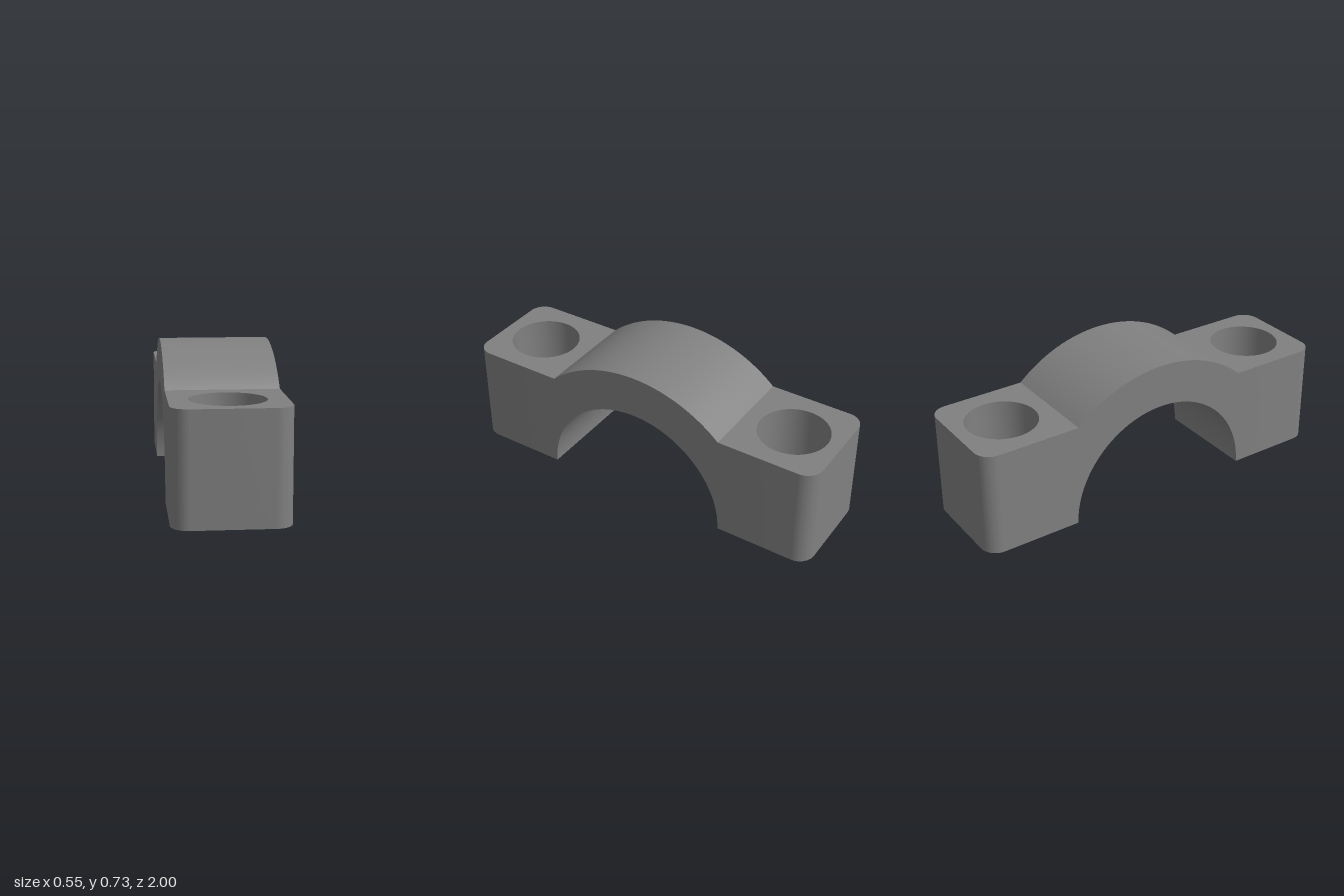
import * as THREE from 'three';
import { toCreasedNormals } from 'three/addons/utils/BufferGeometryUtils.js';

const HALF_WIDTH = 0.275;
const LUG_HEIGHT = 0.54;
const INNER_R = 0.5025; // bore radius, also where the arch joins the lugs
const OUTER_R = 0.727;

// Drops the hidden faces in the joint planes and keeps hard edges crisp.
function finish(geometry) {
  const p = geometry.toNonIndexed().attributes.position.array;
  const kept = [];
  for (let i = 0; i < p.length; i += 9) {
    const onJoint = [2, 5, 8].every((k) => Math.abs(Math.abs(p[i + k]) - INNER_R) < 1e-5);
    const sameSide = p[i + 2] * p[i + 5] > 0 && p[i + 5] * p[i + 8] > 0;
    if (!(onJoint && sameSide)) kept.push(...p.slice(i, i + 9));
  }
  const result = new THREE.BufferGeometry();
  result.setAttribute('position', new THREE.Float32BufferAttribute(kept, 3));
  return toCreasedNormals(result, 0.5);
}

// Half-ring over the bore, with short flat shoulders running into the lugs.
function archGeometry() {
  const t = Math.asin(LUG_HEIGHT / OUTER_R);
  const s = new THREE.Shape();
  s.moveTo(-INNER_R, LUG_HEIGHT);
  s.lineTo(-OUTER_R * Math.cos(t), LUG_HEIGHT);
  s.absarc(0, 0, OUTER_R, Math.PI - t, t, true);
  s.lineTo(INNER_R, LUG_HEIGHT);
  s.lineTo(INNER_R, 0);
  s.absarc(0, 0, INNER_R, 0, Math.PI, false);
  const g = new THREE.ExtrudeGeometry(s, { depth: 2 * HALF_WIDTH, bevelEnabled: false, curveSegments: 40 });
  g.translate(0, 0, -HALF_WIDTH).rotateY(Math.PI / 2);
  return finish(g);
}

// Bolt lug: rounded outer corners and a vertical through hole.
function lugGeometry() {
  const r = 0.085;
  const w = HALF_WIDTH;
  const s = new THREE.Shape();
  s.moveTo(-w, INNER_R);
  s.lineTo(w, INNER_R);
  s.lineTo(w, 1 - r);
  s.absarc(w - r, 1 - r, r, 0, Math.PI / 2, false);
  s.lineTo(-w + r, 1);
  s.absarc(-w + r, 1 - r, r, Math.PI / 2, Math.PI, false);
  const hole = new THREE.Path();
  hole.absarc(0, 0.75, 0.18, 0, Math.PI * 2, true);
  s.holes.push(hole);
  const g = new THREE.ExtrudeGeometry(s, { depth: LUG_HEIGHT, bevelEnabled: false, curveSegments: 30 });
  g.rotateX(-Math.PI / 2);
  return finish(g);
}

export function createModel() {
  const model = new THREE.Group();
  model.name = 'bearingCap';
  const grey = new THREE.MeshStandardMaterial({ color: 0x808080 });
  grey.name = 'grey metal';

  const arch = new THREE.Mesh(archGeometry(), grey);
  arch.name = 'arch';
  model.add(arch);

  const lug = lugGeometry();
  for (const [name, turn] of [['backLug', 0], ['frontLug', Math.PI]]) {
    const mesh = new THREE.Mesh(lug, grey);
    mesh.name = name;
    mesh.rotation.y = turn;
    model.add(mesh);
  }
  return model;
}
